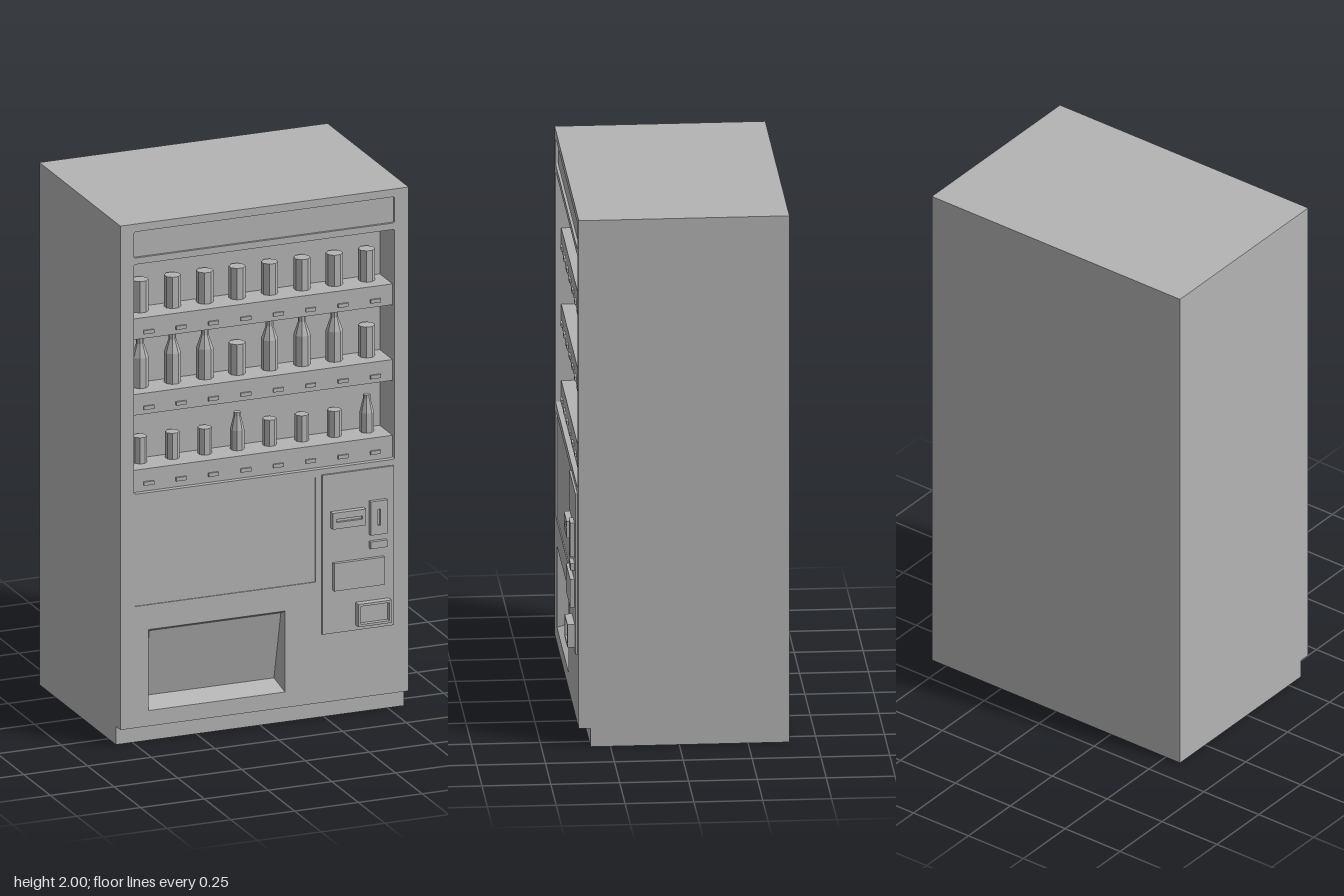
import * as THREE from 'three';

const grey = new THREE.MeshStandardMaterial({ color: 0xb4b4b4 });
grey.name = 'cabinet grey';

const FRONT = 0.365; // front face of the cabinet
const INNER = 0.225; // rear wall of the display window

function add(parent, name, geometry) {
  const mesh = new THREE.Mesh(geometry, grey);
  mesh.name = name;
  parent.add(mesh);
  return mesh;
}

// Box given by its limits
function block(parent, name, x0, x1, y0, y1, z0, z1) {
  const mesh = add(parent, name, new THREE.BoxGeometry(x1 - x0, y1 - y0, z1 - z0));
  mesh.position.set((x0 + x1) / 2, (y0 + y1) / 2, (z0 + z1) / 2);
  return mesh;
}

// Rectangle outline with small chamfer-like rounded corners
function outline(Type, x0, x1, y0, y1, r = 0) {
  const path = new Type();
  path.moveTo(x0 + r, y0);
  path.lineTo(x1 - r, y0);
  if (r) path.quadraticCurveTo(x1, y0, x1, y0 + r);
  path.lineTo(x1, y1 - r);
  if (r) path.quadraticCurveTo(x1, y1, x1 - r, y1);
  path.lineTo(x0 + r, y1);
  if (r) path.quadraticCurveTo(x0, y1, x0, y1 - r);
  path.lineTo(x0, y0 + r);
  if (r) path.quadraticCurveTo(x0, y0, x0 + r, y0);
  return path;
}

// Plate with rectangular openings
function plate(parent, name, rect, z0, z1, holes) {
  const shape = outline(THREE.Shape, ...rect);
  for (const hole of holes) shape.holes.push(outline(THREE.Path, ...hole));
  const geometry = new THREE.ExtrudeGeometry(shape, { depth: z1 - z0, bevelEnabled: false, curveSegments: 3 });
  add(parent, name, geometry).position.z = z0;
}

// Raised block with a shallow slot in its face
function slotted(parent, name, rect, z0, z1, hole, depth) {
  const group = new THREE.Group();
  group.name = name;
  parent.add(group);
  plate(group, name + ' rim', rect, z0, z1, [hole]);
  const [x0, x1, y0, y1] = hole;
  block(group, name + ' floor', x0, x1, y0, y1, z0, z1 - depth);
}

// Tapered tray joining the door opening to the sloping flap
function trayGeometry(front, back) {
  const position = [];
  const quad = (a, b, c, d) => position.push(...a, ...b, ...c, ...a, ...c, ...d);
  for (let i = 0; i < 4; i++) {
    const j = (i + 1) % 4;
    quad(front[i], front[j], back[j], back[i]);
  }
  quad(...back);
  const geometry = new THREE.BufferGeometry();
  geometry.setAttribute('position', new THREE.Float32BufferAttribute(position, 3));
  geometry.computeVertexNormals();
  return geometry;
}

// Eight-sided can or bottle, profile as [radius, height] pairs
function container(parent, name, profile, x, y) {
  const points = profile.map(([r, h]) => new THREE.Vector2(r, h));
  const lathe = new THREE.LatheGeometry(points, 8, Math.PI / 8);
  const geometry = lathe.toNonIndexed();
  geometry.computeVertexNormals();
  add(parent, name, geometry).position.set(x, y, 0.265);
}

const can = (r, h) => [[0, 0], [r, 0], [r, h], [0, h]];
const tallBottle = [[0, 0], [0.031, 0], [0.031, 0.115], [0.014, 0.165], [0.014, 0.195], [0, 0.195]];
const smallBottle = [[0, 0], [0.026, 0], [0.026, 0.075], [0.013, 0.128], [0.013, 0.142], [0, 0.142]];

export function createModel() {
  const model = new THREE.Group();
  model.name = 'vending machine';

  // Cabinet and set-back plinth
  block(model, 'cabinet', -0.565, 0.565, 0.07, 2, -0.4, INNER);
  block(model, 'plinth', -0.565, 0.565, 0, 0.07, -0.4, 0.322);

  // Front with openings for sign, display window, poster and pickup door
  plate(model, 'front panel', [-0.565, 0.565, 0.07, 2], INNER, FRONT, [
    [-0.512, 0.51, 1.87, 1.97, 0.008],
    [-0.512, 0.51, 0.965, 1.845, 0.008],
    [-0.512, 0.2, 0.535, 0.935],
    [-0.455, 0.08, 0.13, 0.44],
  ]);
  block(model, 'sign panel', -0.512, 0.51, 1.87, 1.97, INNER, FRONT - 0.01);
  block(model, 'poster panel', -0.512, 0.2, 0.535, 0.935, INNER, FRONT - 0.004);

  // Shelves with selection buttons and goods
  const rows = [
    { top: 1.63, bottom: 1.55, goods: 'cccccccc', can: can(0.031, 0.12) },
    { top: 1.34, bottom: 1.26, goods: 'bbbcbbbc', can: can(0.031, 0.118), bottle: tallBottle },
    { top: 1.05, bottom: 0.965, goods: 'cccbcccb', can: can(0.026, 0.1), bottle: smallBottle },
  ];
  rows.forEach((row) => {
    const shelf = new THREE.Group();
    shelf.name = 'display row';
    model.add(shelf);
    block(shelf, 'shelf', -0.512, 0.51, row.bottom, row.top, INNER, FRONT - 0.02);
    [...row.goods].forEach((kind, i) => {
      const x = -0.447 + i * 0.127;
      const isCan = kind === 'c';
      container(shelf, isCan ? 'can' : 'bottle', isCan ? row.can : row.bottle, x, row.top);
      block(shelf, 'selection button', x - 0.02, x + 0.02, row.top - 0.062, row.top - 0.048, FRONT - 0.021, FRONT - 0.013);
    });
  });

  // Pickup tray with a flap leaning inwards at the bottom
  add(model, 'pickup tray', trayGeometry(
    [[-0.455, 0.13, FRONT], [0.08, 0.13, FRONT], [0.08, 0.44, FRONT], [-0.455, 0.44, FRONT]],
    [[-0.445, 0.16, 0.285], [0.07, 0.16, 0.285], [0.07, 0.43, 0.35], [-0.445, 0.43, 0.35]],
  ));

  // Payment panel
  const pay = new THREE.Group();
  pay.name = 'payment panel';
  model.add(pay);
  const face = 0.373;
  block(pay, 'payment plate', 0.223, 0.505, 0.333, 0.943, FRONT - 0.002, face);
  slotted(pay, 'note slot', [0.256, 0.386, 0.738, 0.8], face, 0.395, [0.27, 0.372, 0.763, 0.775], 0.01);
  slotted(pay, 'coin slot', [0.407, 0.472, 0.693, 0.822], face, 0.389, [0.434, 0.445, 0.728, 0.79], 0.01);
  block(pay, 'return lever', 0.407, 0.472, 0.641, 0.668, face, 0.388);
  block(pay, 'price display', 0.264, 0.462, 0.498, 0.604, face, 0.388);
  slotted(pay, 'change cup', [0.354, 0.484, 0.353, 0.44], face, 0.4, [0.363, 0.475, 0.362, 0.431], 0.018);

  return model;
}
